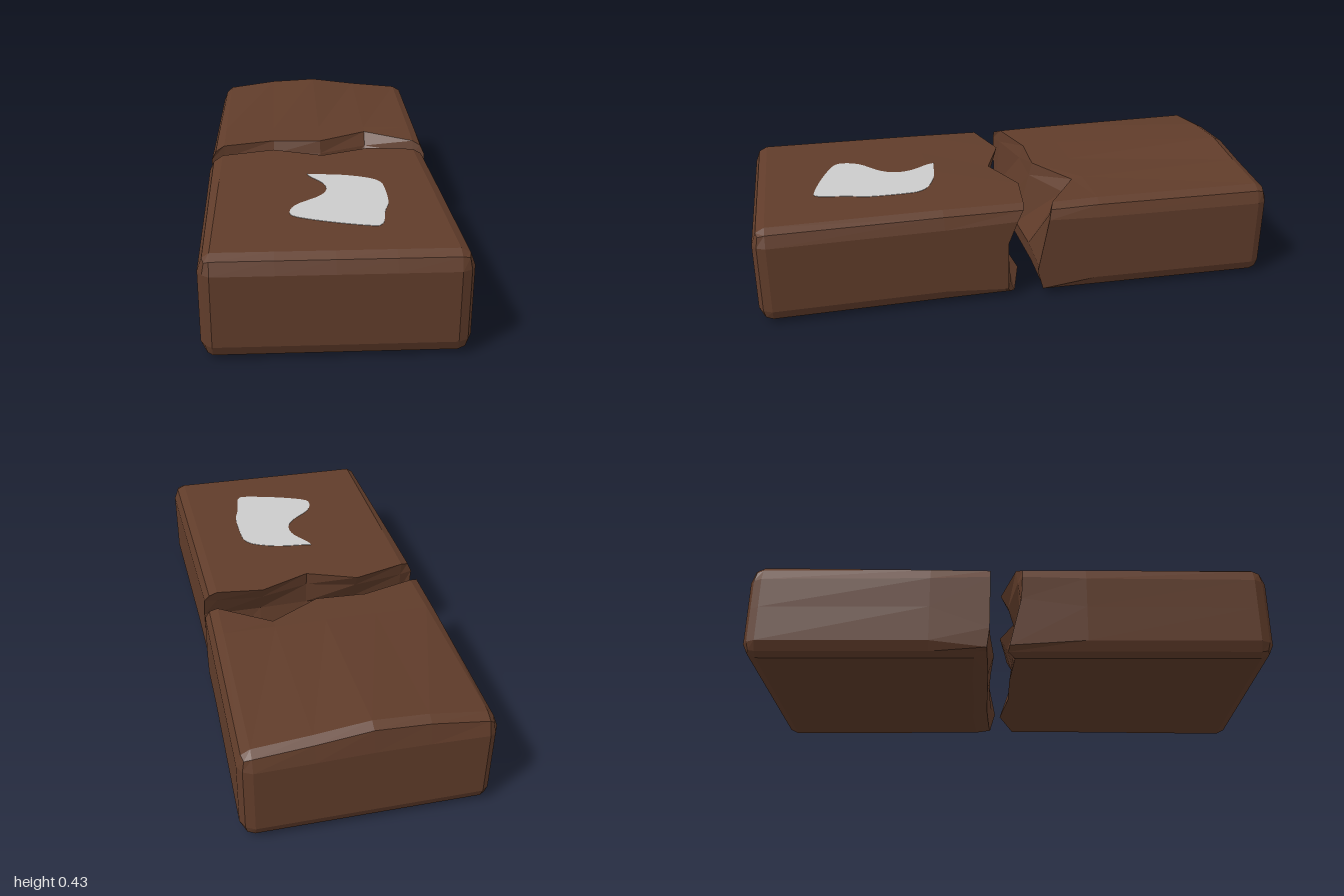
import * as THREE from 'three';

// Grid lines shared by both halves: columns across x, rows up y
const XS = [-0.451, -0.41, -0.2, 0, 0.2, 0.41, 0.46];
const YS = [0.005, 0.06, 0.2, 0.32, 0.383];

// Broken faces: height of each row, z per row (bottom to top) and column (-x to +x)
const FRONT_BREAK = {
  y: [0.003, 0.04, 0.235, 0.325, 0.38],
  z: [
    [0, 0.025, 0.005, 0, -0.035, 0.02, 0.045],
    [0.005, 0.028, 0.01, 0.004, 0.01, 0.035, 0.055],
    [0.05, 0.05, 0.05, 0.055, 0.05, 0.05, 0.055],
    [0.054, 0.037, 0, 0.05, -0.003, 0.012, 0.02],
    [0.055, 0.03, -0.03, 0.047, -0.035, -0.012, -0.005],
  ],
};
const BACK_BREAK = {
  y: [0.005, 0.032, 0.11, 0.325, 0.378],
  z: [
    [-0.12, -0.13, -0.14, -0.14, -0.15, -0.14, -0.13],
    [-0.08, -0.08, -0.08, -0.085, -0.09, -0.085, -0.08],
    [-0.07, -0.07, -0.057, -0.073, -0.08, -0.073, -0.058],
    [-0.068, -0.088, -0.132, -0.127, -0.22, -0.112, -0.1],
    [-0.068, -0.092, -0.15, -0.14, -0.255, -0.122, -0.11],
  ],
};
// Height of the swelling at the outer end of the back half, per column
const SWELL = [0, 0.008, 0.037, 0.047, 0.022, 0.002, 0];

// One half of the bar: a box grid with bevelled edges and one jagged end
function makeHalf(name, dir, broken, taper, swell, material) {
  const geo = new THREE.BoxGeometry(6, 4, 3, 6, 4, 3);
  const p = geo.attributes.position;
  for (let i = 0; i < p.count; i++) {
    const ix = Math.round(p.getX(i) + 3);
    const iy = Math.round(p.getY(i) + 2);
    const iz = Math.round(p.getZ(i) * dir + 1.5); // 0 = break, 3 = outer end
    const ex = ix === 0 || ix === 6;
    const ey = iy === 0 || iy === 4;
    const ez = iz === 3;
    let x = XS[ix];
    let y = iz === 0 ? broken.y[iy] : YS[iy];
    let z = iz === 0 ? broken.z[iy][ix] : dir * [0, 0.3, 0.95, 1][iz];

    // Swelling grows towards the outer end
    const t = THREE.MathUtils.clamp((Math.abs(z) - 0.27) / 0.68, 0, 1);
    if (iy >= 3) y += swell * SWELL[ix] * t * (iy === 4 ? 1 : 0.2);
    // The sides lean towards -x at the break, on the left only in the upper part
    if (ix >= 5) x -= taper * (1 - Math.abs(z));
    if (ix === 0) x -= [0, 0, 0.006, 0.013, 0.013][iy] * (1 - Math.abs(z));

    // Bevel wherever two or three outer sides meet
    const sides = ex + ey + ez;
    if (sides > 1) {
      const pull = sides === 3 ? 0.024 : 0.017;
      if (ex) x -= Math.sign(x) * pull;
      if (ey) y += iy === 0 ? pull : -pull;
      if (ez) z -= dir * pull;
    }
    p.setXYZ(i, x, y, z);
  }
  geo.computeVertexNormals();
  const mesh = new THREE.Mesh(geo, material);
  mesh.name = name;
  return mesh;
}

// Pale splash lying on the front half
function makePatch() {
  const outline = [
    [-0.07, 0.265], [-0.05, 0.27], [0.07, 0.285], [0.165, 0.32], [0.205, 0.36],
    [0.216, 0.42], [0.216, 0.56], [0.195, 0.64], [0.182, 0.73], [0.17, 0.755],
    [0.145, 0.766], [0.02, 0.735], [-0.115, 0.683], [-0.145, 0.64], [-0.12, 0.57],
    [-0.04, 0.5], [-0.005, 0.44], [-0.012, 0.37], [-0.06, 0.295],
  ].map(([x, z]) => new THREE.Vector2(x, -z));
  const shape = new THREE.Shape();
  shape.moveTo(outline[0].x, outline[0].y);
  shape.splineThru([...outline.slice(1), outline[0]]);
  const geo = new THREE.ExtrudeGeometry(shape, { depth: 0.01, bevelEnabled: false, curveSegments: 3 });
  geo.rotateX(-Math.PI / 2);
  geo.translate(0, 0.3745, 0);
  const mesh = new THREE.Mesh(geo, new THREE.MeshStandardMaterial({ color: 0xcccccc }));
  mesh.name = 'patch';
  return mesh;
}

export function createModel() {
  const group = new THREE.Group();
  group.name = 'brokenBar';
  const brown = new THREE.MeshStandardMaterial({ color: 0x603c2a, flatShading: true });
  group.add(
    makeHalf('frontHalf', 1, FRONT_BREAK, 0.026, 0, brown),
    makeHalf('backHalf', -1, BACK_BREAK, 0.014, 1, brown),
    makePatch(),
  );
  return group;
}
